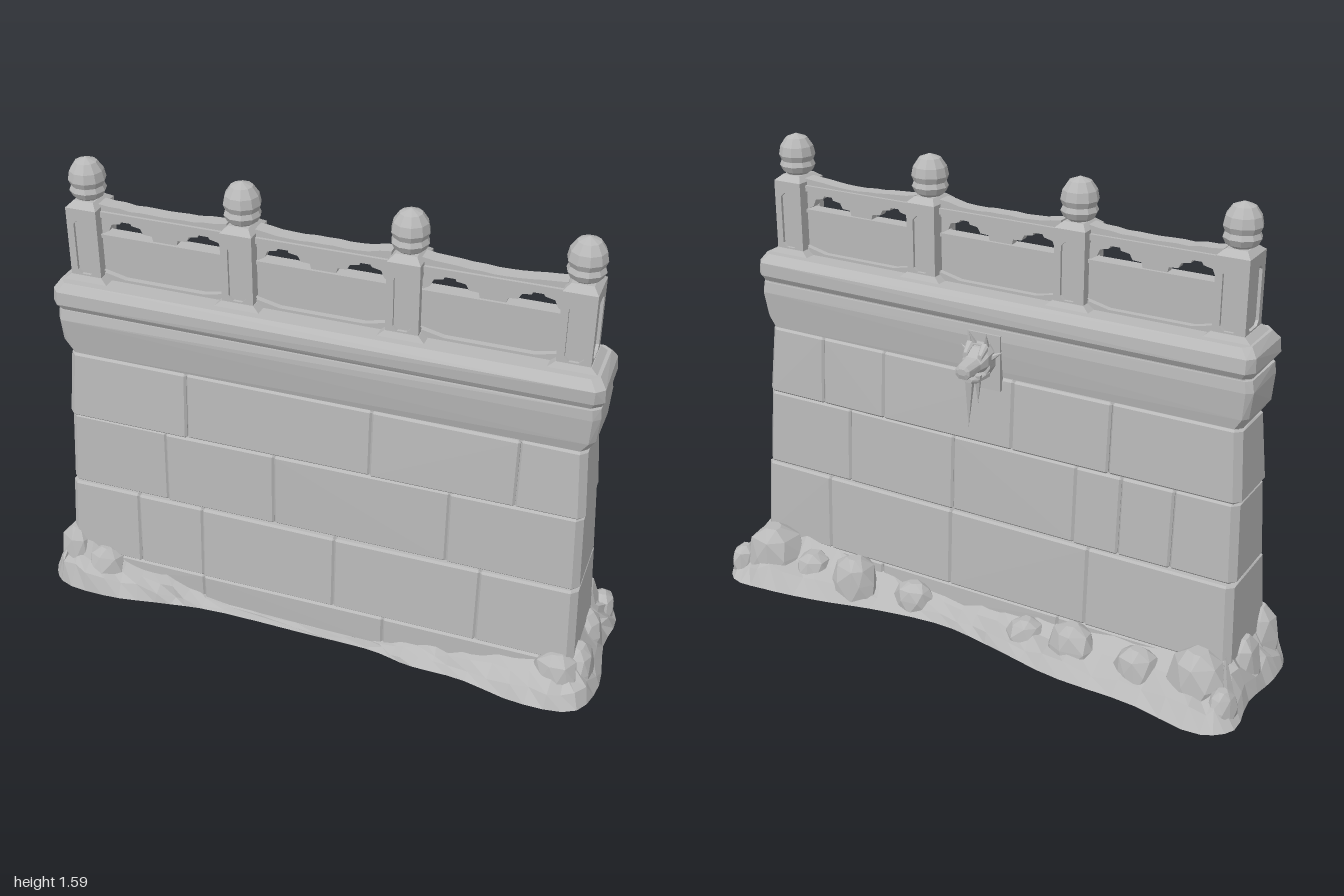
import * as THREE from 'three';
import { ConvexGeometry } from 'three/addons/geometries/ConvexGeometry.js';

const stone = new THREE.MeshStandardMaterial({ color: 0xb8b8b8, flatShading: true, side: THREE.DoubleSide });
stone.name = 'grey stone';
const V = (x, y, z) => new THREE.Vector3(x, y, z);
const MID = 0.05; // z of the wall's centre plane

export function createModel() {
  let seed = 7;
  const rnd = (a = 1) => { // seeded, -a..a
    seed = (seed * 16807) % 2147483647;
    return (seed / 2147483647 * 2 - 1) * a;
  };
  const model = new THREE.Group();
  model.name = 'balustradeWall';

  const add = (name, geo, x = 0, y = 0, z = 0, parent = model) => {
    const m = new THREE.Mesh(geo, stone);
    m.name = name;
    m.position.set(x, y, z);
    parent.add(m);
    return m;
  };
  const box = (name, w, h, d, x, y, z, parent) => add(name, new THREE.BoxGeometry(w, h, d), x, y, z, parent);
  const hull = (name, pts, parent) => add(name, new ConvexGeometry(pts), 0, 0, 0, parent);

  // convex beam through [y, halfWidth, zFront, zBack] levels, corners cut by c
  const tier = (name, levels, c, j = 0) => {
    const pts = [];
    for (const [y, hw, zf, zb] of levels) for (const sx of [-1, 1]) for (const [z, d] of [[zf, -1], [zb, 1]]) {
      pts.push(V(sx * (hw - c) + rnd(j), y, z + rnd(j)), V(sx * hw + rnd(j), y, z + d * c + rnd(j)));
    }
    return hull(name, pts);
  };

  // ---- coursed masonry: y0, y1, half widths, front z, back z, joints front and back
  const courses = [
    [0, 0.12, 0.915, 0.91, 0.205, 0.205, -0.11, -0.108, [-0.4, 0.26], [-0.3, 0.4]],
    [0.12, 0.4, 0.912, 0.9, 0.205, 0.188, -0.108, -0.095, [-0.64, -0.4, 0.08, 0.58], [-0.4, 0.12, 0.62]],
    [0.4, 0.67, 0.9, 0.888, 0.178, 0.166, -0.085, -0.072, [-0.53, -0.14, 0.46], [-0.68, -0.5, -0.34, 0.12, 0.54]],
    [0.67, 0.91, 0.892, 0.875, 0.167, 0.15, -0.072, -0.057, [-0.45, 0.19, 0.67], [-0.45, -0.1, 0.4, 0.65]],
  ];
  const block = (C, a, b, s) => {
    const [y0, y1, w0, w1, f0, f1, b0, b1] = C, pts = [], out = rnd(0.003);
    for (const top of [0, 1]) for (const sx of [-1, 1]) {
      const end = sx < 0 ? a === null : b === null;
      const x = end ? sx * (top ? w1 : w0) : (sx < 0 ? a : b);
      const y = top ? y1 : y0, dy = top ? -1 : 1;
      const z = (s > 0 ? (top ? f1 : f0) : (top ? b1 : b0)) + out + rnd(0.002);
      const c = 0.007, cx = end ? 0.022 : c;
      pts.push(V(x - sx * cx, y + dy * c, z), V(x - sx * cx, y, z - s * c), V(x, y + dy * c, z - s * cx));
      pts.push(V(x - sx * c, y, MID), V(x, y + dy * c, MID));
    }
    hull('wallBlock', pts);
  };
  for (const C of courses) for (const s of [1, -1]) {
    const xs = [null, ...(s > 0 ? C[8] : C[9]), null];
    for (let i = 0; i < xs.length - 1; i++) block(C, xs[i], xs[i + 1], s);
  }
  tier('wallCore', [[0, 0.89, 0.18, -0.085], [1.1, 0.855, 0.13, -0.038]], 0.01);

  // ---- flared band and rounded coping
  tier('flaredBand', [[0.914, 0.875, 0.148, -0.053], [0.95, 0.895, 0.153, -0.058],
    [1.04, 0.903, 0.162, -0.066], [1.076, 0.898, 0.16, -0.064]], 0.02, 0.003);
  tier('bandGroove', [[1.07, 0.888, 0.152, -0.055], [1.1, 0.888, 0.152, -0.055]], 0.02);
  tier('coping', [[1.085, 0.897, 0.166, -0.068], [1.105, 0.908, 0.176, -0.077],
    [1.15, 0.908, 0.176, -0.077], [1.178, 0.885, 0.155, -0.055]], 0.025, 0.003);

  // ---- balustrade posts with recessed panels and bud finials
  const frame = (w, h) => {
    const s = new THREE.Shape(), o = new THREE.Path(), a = w / 2, b = h / 2;
    s.moveTo(-a, -b).lineTo(a, -b).lineTo(a, b).lineTo(-a, b).closePath();
    const p = a - 0.024, q = b - 0.03, k = 0.014;
    o.moveTo(-p, -q + k).lineTo(-p, q - k).lineTo(-p + k, q).lineTo(p - k, q)
      .lineTo(p, q - k).lineTo(p, -q + k).lineTo(p - k, -q).lineTo(-p + k, -q).closePath();
    s.holes.push(o);
    return new THREE.ExtrudeGeometry(s, { depth: 0.012, bevelEnabled: false });
  };
  const bud = [[0.042, 0], [0.032, 0.018], [0.05, 0.03], [0.06, 0.05], [0.053, 0.066],
    [0.061, 0.085], [0.055, 0.115], [0.036, 0.143], [0, 0.157]].map(p => new THREE.Vector2(...p));
  const postX = [-0.8, -0.27, 0.27, 0.8], W = 0.106, D = 0.13, H = 0.25;
  for (const px of postX) {
    const post = new THREE.Group();
    post.name = 'post';
    post.position.set(px, 1.17, MID);
    model.add(post);
    box('postCore', W - 0.02, H, D - 0.02, 0, H / 2, 0, post);
    for (let i = 0; i < 4; i++) {
      const f = add('postPanelFrame', frame(i % 2 ? D : W, H), 0, H / 2, 0, post);
      f.rotation.y = i * Math.PI / 2;
      f.translateZ((i % 2 ? W : D) / 2 - 0.012);
    }
    const cap = [], foot = [];
    for (const sx of [-1, 1]) for (const sz of [-1, 1]) {
      cap.push(V(sx * W / 2, H, sz * D / 2), V(sx * W / 2, H + 0.01, sz * D / 2), V(sx * 0.034, H + 0.028, sz * 0.04));
      foot.push(V(sx * 0.085, 0, sz * 0.082), V(sx * 0.055, 0.025, sz * 0.068));
    }
    hull('postCap', cap, post);
    hull('postFoot', foot, post);
    const f = add('finial', new THREE.LatheGeometry(bud, 10), 0, H + 0.008, 0, post);
    f.rotation.y = 0.3;
  }

  // ---- rails, parapet panels and cloud brackets in each bay
  const extrude = (pts, depth) => new THREE.ExtrudeGeometry(
    new THREE.Shape(pts.map(p => new THREE.Vector2(...p))), { depth, bevelEnabled: false }).translate(0, 0, -depth / 2);
  for (let i = 0; i < 3; i++) {
    const x = (postX[i] + postX[i + 1]) / 2, L = 0.44, h = L / 2;
    // worn, slightly sagging handrail
    const rail = [[-h, 1.388], [h, 1.388]];
    for (let k = 0; k <= 12; k++) {
      const t = 1 - k / 6;
      rail.push([t * h, 1.428 + 0.014 * t * t + rnd(0.003)]);
    }
    add('handrail', extrude(rail, 0.05), x, 0, MID);
    box('handrailMoulding', L, 0.02, 0.07, x, 1.408, MID);
    box('parapetPanel', L, 0.155, 0.034, x, 1.25, MID);
    box('panelTopMoulding', L, 0.012, 0.05, x, 1.327, MID);
    // sill dipping at mid-bay
    add('panelSill', extrude([[-h, 1.165], [h, 1.165], [h, 1.205], [0.14, 1.187], [-0.14, 1.187], [-h, 1.205]], 0.075), x, 0, MID);
    add('cloudBracket', extrude([[-0.04, 1.33], [0.04, 1.33], [0.045, 1.35], [0.075, 1.352], [0.085, 1.37],
      [0.115, 1.375], [0.12, 1.392], [-0.12, 1.392], [-0.115, 1.375], [-0.085, 1.37], [-0.075, 1.352], [-0.045, 1.35]], 0.03), x, 0, MID);
    for (const s of [-1, 1]) {
      const b = [[h, 1.33], [h, 1.392], [h - 0.075, 1.392], [h - 0.065, 1.375], [h - 0.035, 1.368], [h - 0.025, 1.345]];
      add('cornerBracket', extrude(b.map(([u, y]) => [s * u, y]), 0.03), x, 0, MID);
    }
  }

  // ---- rubble skirt: outline x, z and height against the wall
  const outline = [
    [-1, 0.08, 0.16], [-0.99, 0.2, 0.18], [-0.93, 0.275, 0.19], [-0.75, 0.295, 0.15], [-0.55, 0.265, 0.09],
    [-0.38, 0.24, 0.03], [0, 0.24, 0.012], [0.24, 0.243, 0.015], [0.37, 0.27, 0.06], [0.55, 0.275, 0.07],
    [0.77, 0.318, 0.11], [0.95, 0.29, 0.15], [1, 0.15, 0.14], [0.975, -0.05, 0.13], [0.99, -0.2, 0.14],
    [0.92, -0.3, 0.14], [0.78, -0.3, 0.14], [0.58, -0.27, 0.12], [0.35, -0.215, 0.08], [0.1, -0.185, 0.07],
    [-0.12, -0.22, 0.08], [-0.36, -0.27, 0.1], [-0.65, -0.28, 0.12], [-0.9, -0.32, 0.14], [-0.99, -0.25, 0.15],
    [-0.975, -0.08, 0.15]];
  const curve = new THREE.CatmullRomCurve3(outline.map(([x, z, h]) => V(x, h, z)), true);
  const N = 80, rings = [[0, 0], [0.22, 0.35], [0.6, 0.62], [1, 1]], pos = [], idx = [];
  const clamp = THREE.MathUtils.clamp;
  for (let i = 0; i < N; i++) {
    const p = curve.getPoint(i / N);
    const q = V(clamp(p.x, -0.89, 0.89), 0, clamp(p.z, -0.09, 0.185));
    rings.forEach(([t, k], r) => {
      const j = r === 1 || r === 2 ? 0.012 : 0;
      pos.push(clamp(p.x + (q.x - p.x) * t + rnd(j), -1, 1), Math.max(0, p.y * (k + (r ? rnd(0.15) : 0))), p.z + (q.z - p.z) * t + rnd(j));
      if (r < 3) {
        const a = i * 4 + r, b = ((i + 1) % N) * 4 + r;
        idx.push(a, b, a + 1, b, b + 1, a + 1);
      }
    });
  }
  const skirt = new THREE.BufferGeometry();
  skirt.setAttribute('position', new THREE.Float32BufferAttribute(pos, 3));
  skirt.setIndex(idx);
  skirt.computeVertexNormals();
  add('rubbleSkirt', skirt);

  // ---- boulders: x, z, radius x, height, radius z
  const rocks = [[-0.82, -0.15, 0.11, 0.18, 0.09], [-0.62, -0.16, 0.08, 0.13, 0.07], [-0.38, -0.15, 0.09, 0.14, 0.07],
    [-0.2, -0.14, 0.07, 0.1, 0.06], [0.25, -0.13, 0.08, 0.1, 0.06], [0.48, -0.16, 0.09, 0.15, 0.08],
    [0.66, -0.16, 0.07, 0.12, 0.07], [0.83, -0.16, 0.11, 0.18, 0.1], [0.91, -0.04, 0.06, 0.14, 0.07],
    [0.92, 0.14, 0.06, 0.15, 0.08], [0.86, 0.2, 0.09, 0.15, 0.06], [-0.9, 0.18, 0.07, 0.2, 0.07],
    [-0.91, 0.02, 0.06, 0.17, 0.08], [-0.78, 0.2, 0.08, 0.15, 0.06], [-0.93, -0.2, 0.05, 0.1, 0.06],
    [0.93, -0.21, 0.05, 0.1, 0.06]];
  for (const [x, z, rx, h, rz] of rocks) {
    const pts = [];
    for (let r = 0; r < 4; r++) for (let k = 0; k < 7; k++) {
      const a = (k + r / 2) / 7 * Math.PI * 2 + rnd(0.2), w = [1, 0.95, 0.75, 0.3][r] + rnd(0.08);
      pts.push(V(x + Math.cos(a) * w * rx, h * [0, 0.45, 0.8, 1][r], z + Math.sin(a) * w * rz));
    }
    hull('boulder', pts);
  }

  // ---- beast-head spout with icicles on the back
  const spout = new THREE.Group();
  spout.name = 'spout';
  model.add(spout);
  // tapering lump through [z, halfWidth, yBottom, yTop] sections
  const lump = (name, secs, cx = 0) => hull(name, secs.flatMap(([z, w, y0, y1]) => [-1, 1].flatMap(s => [
    V(cx + s * w, y0 + (y1 - y0) * 0.3, z), V(cx + s * w, y0 + (y1 - y0) * 0.7, z),
    V(cx + s * w * 0.55, y0, z), V(cx + s * w * 0.55, y1, z)])), spout);
  box('spoutPlate', 0.12, 0.19, 0.02, 0, 0.965, -0.062, spout);
  lump('neck', [[-0.06, 0.042, 0.925, 1.03], [-0.11, 0.045, 0.93, 1.035]]);
  lump('skull', [[-0.085, 0.045, 0.95, 1.035], [-0.12, 0.046, 0.95, 1.03], [-0.15, 0.034, 0.955, 1.0]]);
  lump('upperJaw', [[-0.13, 0.036, 0.955, 1.005], [-0.18, 0.03, 0.955, 0.985], [-0.205, 0.026, 0.95, 0.995], [-0.21, 0.016, 0.965, 0.985]]);
  lump('lowerJaw', [[-0.09, 0.034, 0.915, 0.95], [-0.15, 0.026, 0.918, 0.938], [-0.175, 0.016, 0.928, 0.942]]);
  const cone = (name, r, len, x, y, z, rx, rz = 0) => {
    const m = add(name, new THREE.ConeGeometry(r, len, 6), x, y, z, spout);
    m.rotation.set(rx, 0, rz);
  };
  for (const s of [-1, 1]) {
    lump('brow', [[-0.115, 0.014, 1.015, 1.045], [-0.145, 0.008, 0.995, 1.015]], s * 0.027);
    cone('horn', 0.014, 0.07, s * 0.025, 1.045, -0.1, -0.35, -s * 0.2);
    cone('ear', 0.016, 0.06, s * 0.052, 1.0, -0.09, 0.4, -s * 1);
  }
  cone('longIcicle', 0.018, 0.19, 0.004, 0.86, -0.158, Math.PI + 0.06);
  cone('shortIcicle', 0.013, 0.1, -0.018, 0.895, -0.14, Math.PI);
  cone('smallIcicle', 0.011, 0.08, 0.022, 0.9, -0.125, Math.PI);
  return model;
}
